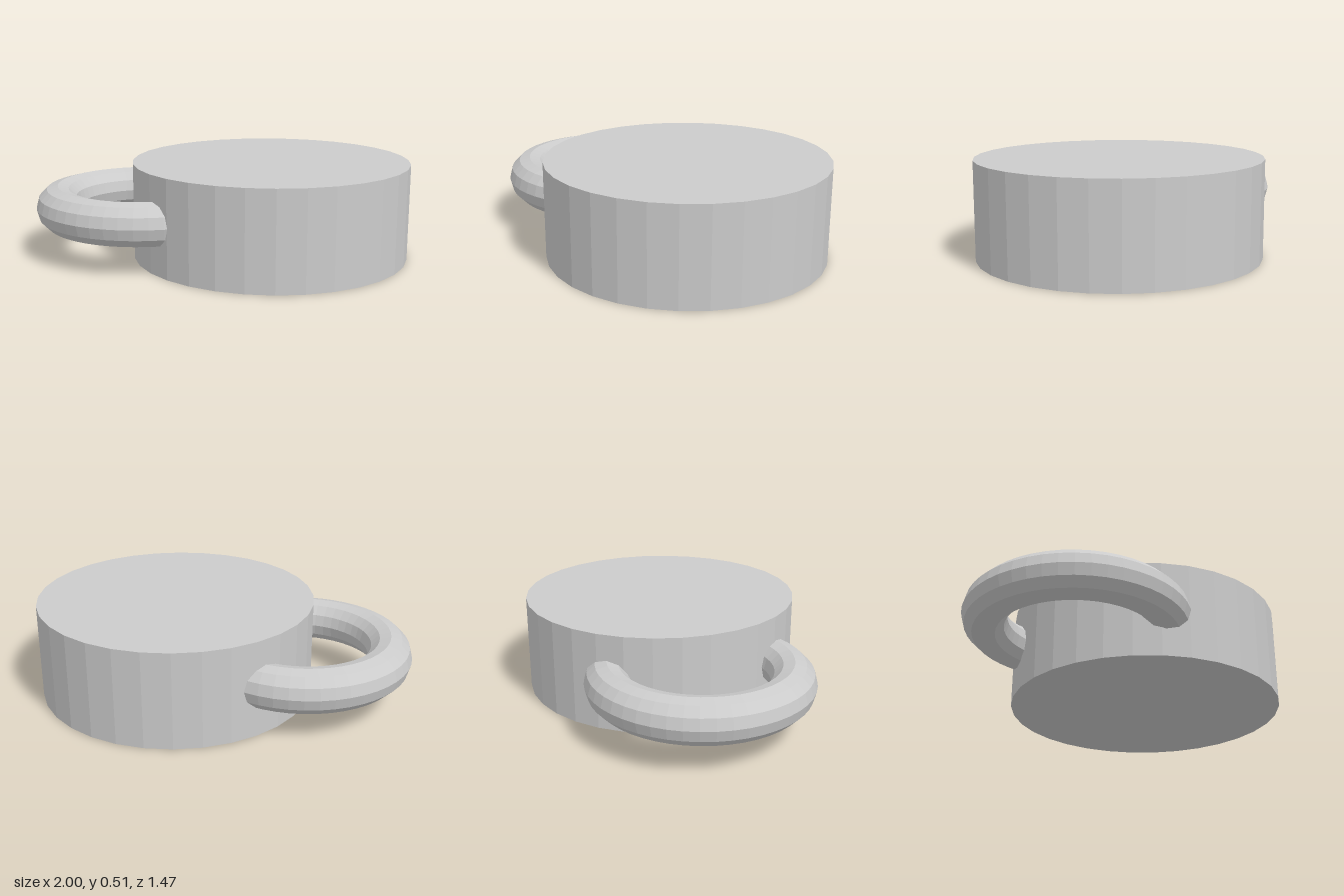
import * as THREE from 'three';

export function createModel() {
  const group = new THREE.Group();
  const material = new THREE.MeshStandardMaterial({ color: 0xcccccc, flatShading: true });

  const add = (name, geometry, x, y, z) => {
    const mesh = new THREE.Mesh(geometry, material);
    mesh.name = name;
    mesh.position.set(x, y, z);
    group.add(mesh);
  };

  // Solid, closed drum
  const radius = 0.737, height = 0.51;
  add('body', new THREE.CylinderGeometry(radius, radius, height, 32), 1 - radius, height / 2, 0);

  // Horizontal ring handle, sunk into the side of the drum
  const tube = 0.115, ringRadius = 0.466;
  const ring = new THREE.TorusGeometry(ringRadius, tube, 12, 48).rotateX(Math.PI / 2);
  add('handle', ring, -1 + ringRadius + tube, 0.26, -0.032);

  return group;
}
